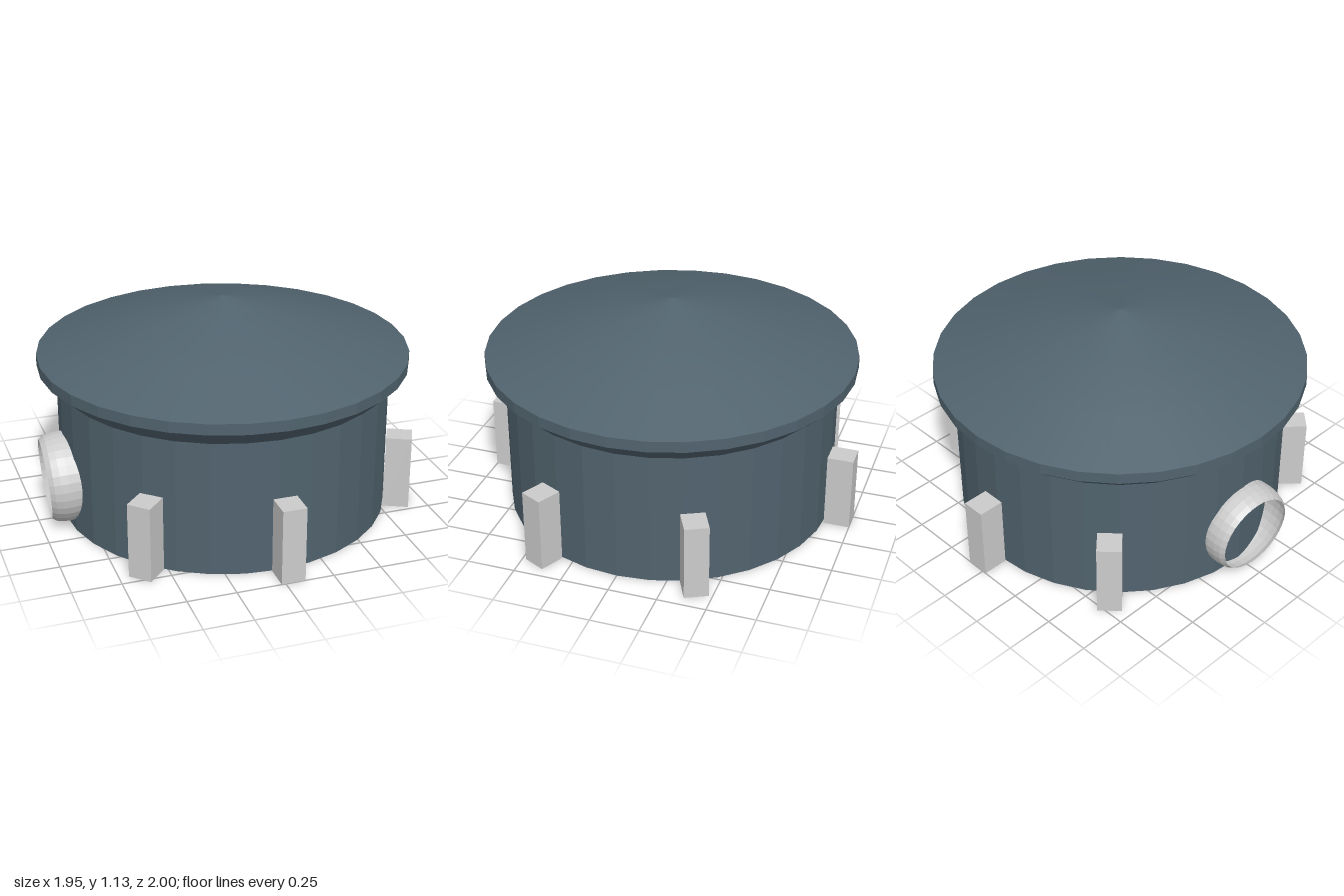
import * as THREE from 'three';

const CENTER_X = 0.013;
const SIDES = 32;

const pts = (list) => list.map(([r, y]) => new THREE.Vector2(r, y));

export function createModel() {
  const model = new THREE.Group();
  model.name = 'roundHut';

  const slate = { color: 0x51636e };
  const slateFlat = new THREE.MeshStandardMaterial({ ...slate, flatShading: true });
  const slateSmooth = new THREE.MeshStandardMaterial(slate);
  const grey = new THREE.MeshStandardMaterial({ color: 0xcccccc, flatShading: true });
  const greyShell = new THREE.MeshStandardMaterial({
    color: 0xcccccc, flatShading: true, side: THREE.DoubleSide,
  });

  const add = (name, geometry, material, x = 0, y = 0, z = 0) => {
    const mesh = new THREE.Mesh(geometry, material);
    mesh.name = name;
    mesh.position.set(x, y, z);
    model.add(mesh);
    return mesh;
  };

  // Faceted wall with floor, flaring soffit and upright rim
  add('wall', new THREE.LatheGeometry(
    pts([[0, 0], [0.865, 0], [0.865, 0.707]]), SIDES), slateFlat, CENTER_X);
  add('eaves', new THREE.LatheGeometry(
    pts([[0.865, 0.707], [0.963, 0.797], [0.963, 0.854]]), SIDES), slateFlat, CENTER_X);

  // Smooth, gently bulging roof
  add('roof', new THREE.LatheGeometry(
    pts([[0.963, 0.854], [0.65, 0.958], [0.384, 1.043], [0, 1.133]]), SIDES), slateSmooth, CENTER_X);

  // Buttress blocks, mirrored front to back: [x, z, turn]
  const blocks = [
    [0.04, 0.933, 0],
    [0.858, 0.397, THREE.MathUtils.degToRad(64)],
    [-0.61, 0.688, THREE.MathUtils.degToRad(-44)],
  ];
  const blockGeometry = new THREE.BoxGeometry(0.123, 0.397, 0.134);
  for (const side of [1, -1]) {
    for (const [x, z, turn] of blocks) {
      const block = add('buttress', blockGeometry, grey, x, 0.1985, side * z);
      block.rotation.y = side > 0 ? turn : Math.PI - turn;
    }
  }

  // Open, slightly tilted round pipe mouth on the -x side
  const pipe = add('pipeMouth', new THREE.LatheGeometry(
    pts([[0.228, -0.17], [0.235, -0.1], [0.233, -0.06], [0.225, -0.025], [0.208, 0]]), SIDES),
  greyShell, -0.955, 0.235, 0);
  pipe.quaternion.setFromUnitVectors(
    new THREE.Vector3(0, 1, 0),
    new THREE.Vector3(-1, -0.08, -0.08).normalize());

  return model;
}
